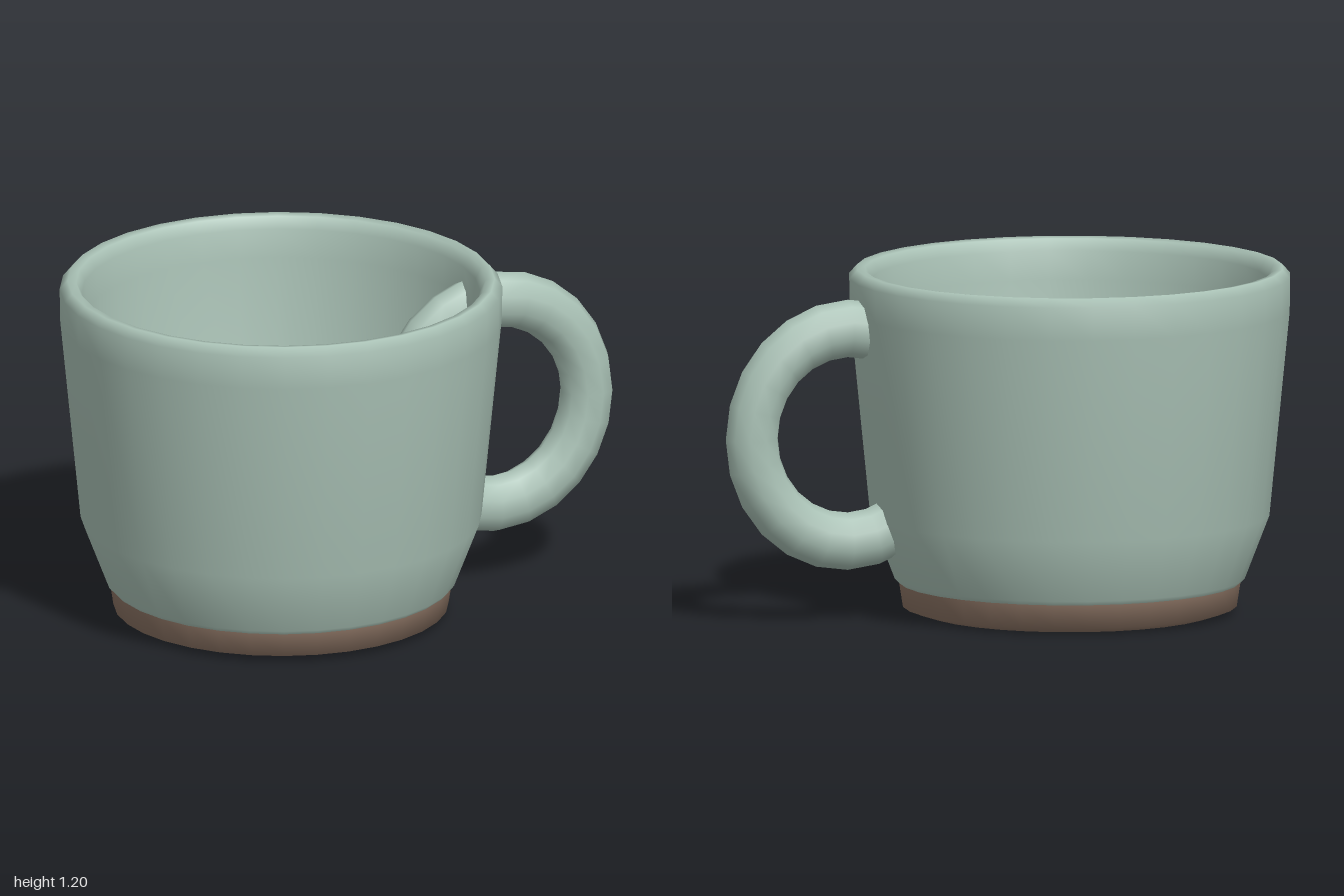
import * as THREE from 'three';

const SIDES = 32;
const CUP_X = -0.24;

export function createModel() {
  const glaze = new THREE.MeshStandardMaterial({ color: 0xa9c1b5 });
  glaze.name = 'sage glaze';
  const clay = new THREE.MeshStandardMaterial({ color: 0x8c7464 });
  clay.name = 'bare clay';

  const model = new THREE.Group();
  model.name = 'mug';

  const add = (name, geometry, material, x = 0, y = 0) => {
    const mesh = new THREE.Mesh(geometry, material);
    mesh.name = name;
    mesh.position.set(x, y, 0);
    model.add(mesh);
    return mesh;
  };
  const lathe = (points) =>
    new THREE.LatheGeometry(points.map(([r, y]) => new THREE.Vector2(r, y)), SIDES);
  // Flat disc facing up (1) or down (-1)
  const disc = (radius, facing) =>
    new THREE.CircleGeometry(radius, SIDES).rotateX(-facing * Math.PI / 2);

  // Cup wall: up the outside, over the rounded rim, down the inside
  add('cupWall', lathe([
    [0.585, 0.1], [0.605, 0.12], [0.69, 0.34], [0.76, 1.05], [0.762, 1.165],
    [0.735, 1.195], [0.705, 1.19], [0.685, 1.15], [0.675, 1.05],
    [0.61, 0.36], [0.505, 0.14],
  ]), glaze, CUP_X);
  add('cupFloor', disc(0.505, 1), glaze, CUP_X, 0.14);

  // Unglazed foot ring with flat underside
  add('footRing', lathe([[0.51, 0], [0.577, 0.022], [0.59, 0.105]]), clay, CUP_X);
  add('footTop', disc(0.59, 1), clay, CUP_X, 0.105);
  add('footUnderside', disc(0.51, -1), clay, CUP_X, 0);

  // Handle: a full oval ring passing through the wall
  const handle = add('handle', new THREE.TorusGeometry(0.37, 0.1, 10, 24), glaze, 0.56, 0.647);
  handle.scale.set(0.936, 1, 0.85);

  return model;
}
